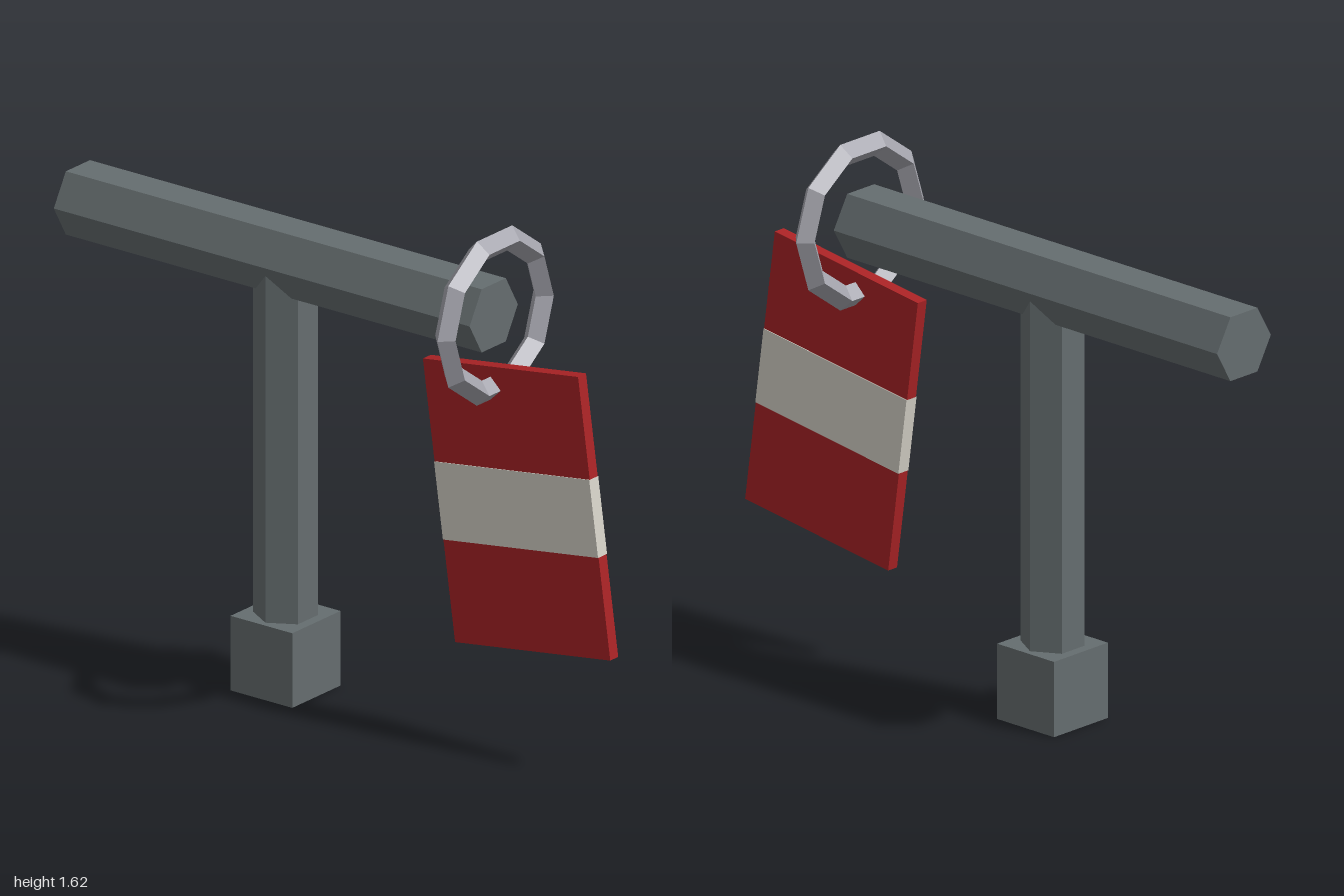
import * as THREE from 'three';

const makeMaterial = (name, color) => {
  const m = new THREE.MeshStandardMaterial({ color, flatShading: true });
  m.name = name;
  return m;
};

export function createModel() {
  const iron = makeMaterial('dark iron', 0x656d6f);
  const steel = makeMaterial('light steel', 0xa2a2aa);
  const red = makeMaterial('red', 0xaa2325);
  const cream = makeMaterial('cream', 0xd6d2c8);

  const model = new THREE.Group();
  model.name = 'hangingSign';
  const add = (parent, name, geometry, material, x, y, z = 0) => {
    const mesh = new THREE.Mesh(geometry, material);
    mesh.name = name;
    mesh.position.set(x, y, z);
    parent.add(mesh);
    return mesh;
  };

  // Square foot and six-sided post
  const postX = -0.226;
  add(model, 'foot', new THREE.BoxGeometry(0.23, 0.235, 0.23), iron, postX, 0.1175);
  add(model, 'post', new THREE.CylinderGeometry(0.096, 0.096, 1.13, 6), iron, postX, 0.795);

  // Six-sided crossbar, flat on top
  const barLength = 1.55;
  const bar = new THREE.CylinderGeometry(0.115, 0.115, barLength, 6).rotateZ(Math.PI / 2);
  add(model, 'crossbar', bar, iron, -1 + barLength / 2, 1.36);

  // Faceted ring around the end of the bar
  const ring = new THREE.TorusGeometry(0.234, 0.038, 4, 10).rotateY(Math.PI / 2);
  add(model, 'ring', ring, steel, 0.553, 1.36);

  // Tilted panel: two red ends and a slightly thicker cream band
  const panel = new THREE.Group();
  panel.name = 'panel';
  panel.position.set(0.65, 0.778, 0);
  panel.rotation.z = 0.138;
  model.add(panel);
  const width = 0.584, height = 0.873, band = 0.24;
  const end = (height - band) / 2;
  for (const [name, side] of [['panelTop', 1], ['panelBottom', -1]]) {
    add(panel, name, new THREE.BoxGeometry(width, end, 0.038), red, 0, side * (band + end) / 2);
  }
  add(panel, 'panelBand', new THREE.BoxGeometry(width, band, 0.043), cream, 0, 0);

  return model;
}
